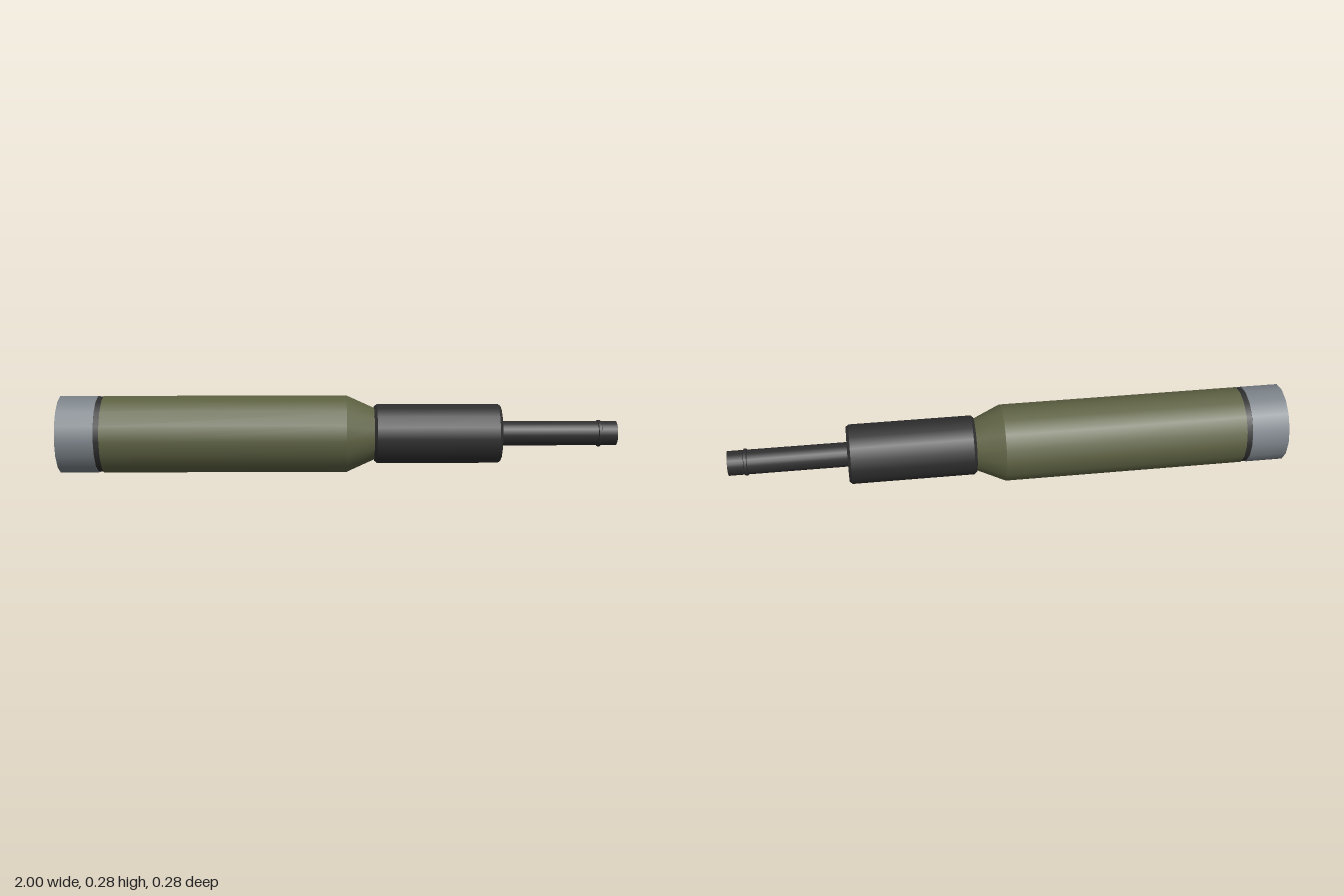
import * as THREE from 'three';
import { mergeGeometries } from 'three/addons/utils/BufferGeometryUtils.js';

const mat = (name, color) => {
  const m = new THREE.MeshStandardMaterial({ color });
  m.name = name;
  return m;
};

// Turned part along +x: profile of [x, radius], hard edges between its bands.
function turned(name, profile, material, sides = 16) {
  const bands = [];
  for (let i = 0; i < profile.length - 1; i++) {
    const [[x0, r0], [x1, r1]] = [profile[i], profile[i + 1]];
    bands.push(new THREE.LatheGeometry([new THREE.Vector2(r0, x0), new THREE.Vector2(r1, x1)], sides));
  }
  const geometry = mergeGeometries(bands);
  geometry.rotateZ(-Math.PI / 2);
  const mesh = new THREE.Mesh(geometry, material);
  mesh.name = name;
  return mesh;
}

export function createModel() {
  const olive = mat('olive', 0x5d6142);
  const silver = mat('silver', 0x7b8288);
  const black = mat('black', 0x2e2e2e);
  const darkGrey = mat('darkGrey', 0x505057);

  const group = new THREE.Group();
  group.name = 'turnedTool';
  group.add(
    // End cap with its flat base
    turned('capBase', [[-1, 0], [-1, 0.14]], darkGrey),
    turned('endCap', [[-1, 0.14], [-0.865, 0.14], [-0.865, 0.136]], silver),
    // Dark seam between cap and body
    turned('seam', [[-0.865, 0.137], [-0.845, 0.137]], black),
    // Main tube with tapered shoulder
    turned('body', [[-0.845, 0.136], [-0.845, 0.14], [0.025, 0.14], [0.13, 0.092]], olive),
    // Sleeve with small chamfers
    turned('sleeve', [[0.125, 0.09], [0.125, 0.1], [0.135, 0.108], [0.57, 0.108], [0.58, 0.1], [0.58, 0]], black),
    // Thin rod and its retaining ring
    turned('rod', [[0.57, 0.044], [1, 0.044], [1, 0]], black, 24),
    turned('rodRing', [[0.931, 0.044], [0.933, 0.048], [0.942, 0.048], [0.944, 0.044]], black, 24),
  );
  // Rest the widest part on the ground
  for (const part of group.children) part.position.y = 0.14;
  return group;
}
